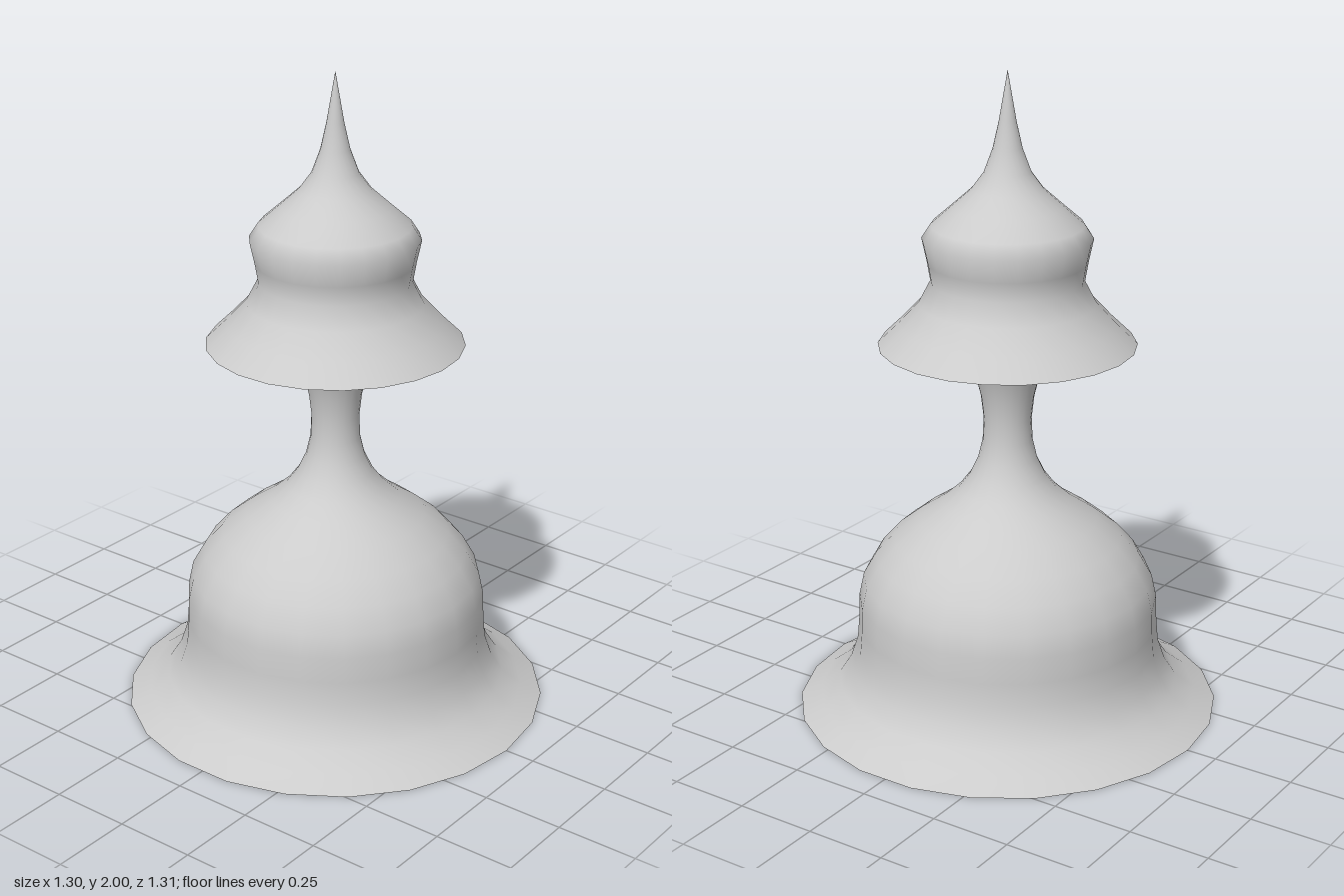
import * as THREE from 'three';

const SIDES = 22;

// Revolve a [radius, height] profile, listed from bottom to top of the surface
function turned(name, profile) {
  const points = profile.map(([r, y]) => new THREE.Vector2(r, y));
  const material = new THREE.MeshStandardMaterial({ color: 0xcccccc, side: THREE.DoubleSide });
  const mesh = new THREE.Mesh(new THREE.LatheGeometry(points, SIDES), material);
  mesh.name = name;
  return mesh;
}

export function createModel() {
  const group = new THREE.Group();
  group.name = 'spire';

  // Hollow bell with flared foot, narrow neck and the underside of the canopy
  group.add(turned('bellAndNeck', [
    [0.655, 0], [0.59, 0.035], [0.53, 0.08], [0.494, 0.135], [0.472, 0.2],
    [0.466, 0.27], [0.463, 0.35], [0.448, 0.42], [0.408, 0.49], [0.352, 0.553],
    [0.277, 0.613], [0.2, 0.665], [0.15, 0.71], [0.116, 0.755], [0.09, 0.81],
    [0.076, 0.87], [0.073, 0.94], [0.081, 1.01], [0.1, 1.085], [0.138, 1.175],
    [0.178, 1.23], [0.225, 1.25], [0.285, 1.235], [0.39, 1.175],
  ]));

  // Flared canopy, waist, bulge and pointed finial
  group.add(turned('canopyAndFinial', [
    [0.39, 1.175], [0.325, 1.238], [0.265, 1.303], [0.23, 1.37], [0.24, 1.43],
    [0.255, 1.5], [0.228, 1.542], [0.165, 1.597], [0.108, 1.648], [0.07, 1.7],
    [0.044, 1.77], [0.026, 1.85], [0, 2],
  ]));

  return group;
}
